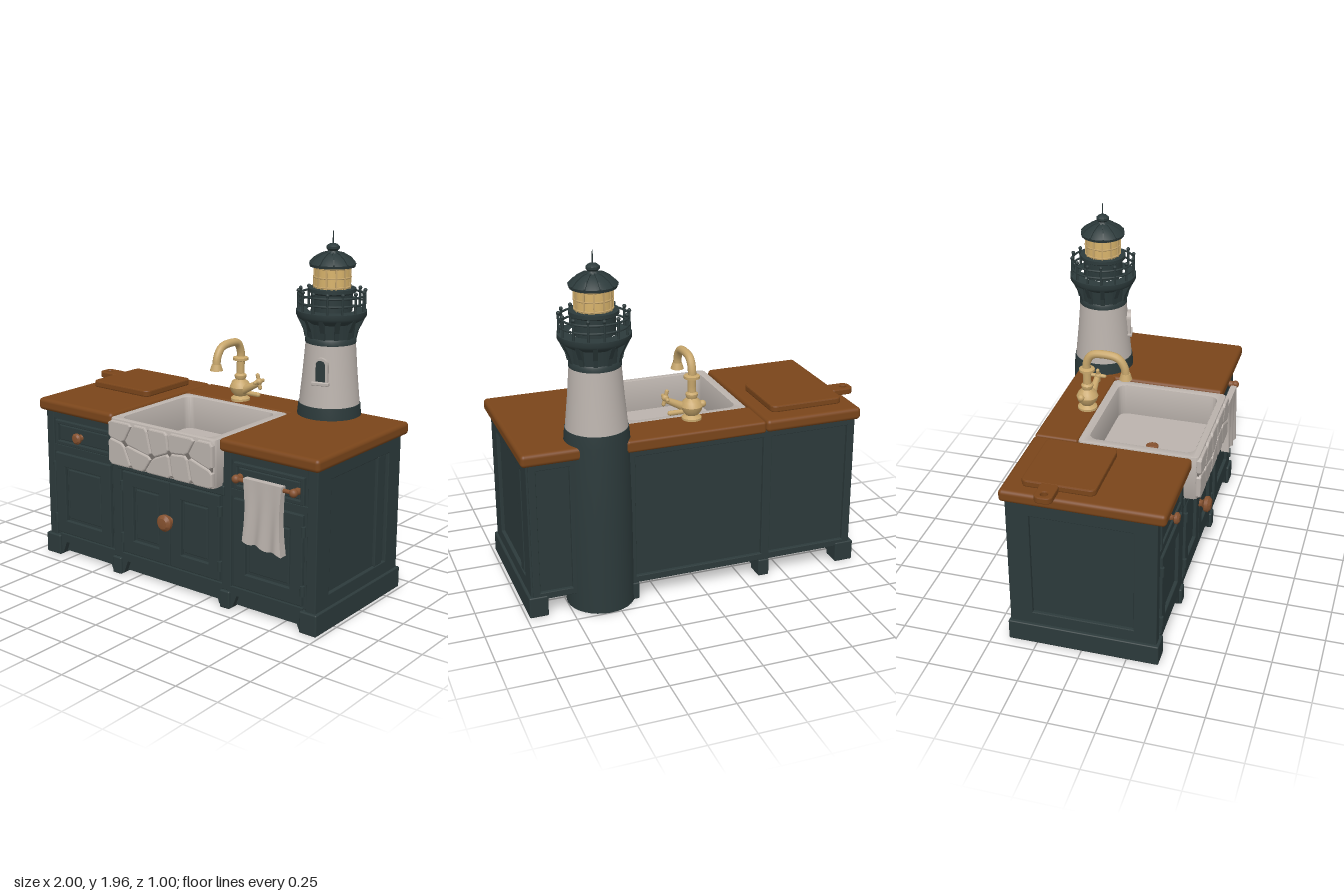
import * as THREE from 'three';
import { toCreasedNormals } from 'three/addons/utils/BufferGeometryUtils.js';
import { RoundedBoxGeometry } from 'three/addons/geometries/RoundedBoxGeometry.js';

const paint = (name, color, side = THREE.FrontSide) => {
  const m = new THREE.MeshStandardMaterial({ color, side });
  m.name = name;
  return m;
};

export function createModel() {
  const green = paint('dark green paint', 0x2c3a3b);
  const wood = paint('brown wood', 0x7a451a);
  const white = paint('off white', 0xbbb3ad);
  const mortar = paint('grey mortar', 0x77716c);
  const brass = paint('brass', 0xc8a76c);
  const glass = paint('lantern glass', 0xd9b46c);
  const copper = paint('copper', 0x85512f);

  const root = new THREE.Group();
  const add = (name, geo, mat, x = 0, y = 0, z = 0, parent = root) => {
    const m = new THREE.Mesh(geo, mat);
    m.name = name;
    m.position.set(x, y, z);
    parent.add(m);
    return m;
  };
  const group = (name, x = 0, y = 0, z = 0, parent = root) => {
    const g = new THREE.Group();
    g.name = name;
    g.position.set(x, y, z);
    parent.add(g);
    return g;
  };
  // Box given by its ranges, with an optional rounding radius
  const block = (name, mat, [x0, x1], [y0, y1], [z0, z1], r = 0) => {
    const s = [x1 - x0, y1 - y0, z1 - z0];
    const geo = r ? new RoundedBoxGeometry(...s, 3, r) : new THREE.BoxGeometry(...s);
    return add(name, geo, mat, (x0 + x1) / 2, (y0 + y1) / 2, (z0 + z1) / 2);
  };
  const lathe = (pts, n = 32) =>
    toCreasedNormals(new THREE.LatheGeometry(pts.map(p => new THREE.Vector2(...p)), n), 0.6);
  const poly = pts => new THREE.Shape(pts.map(p => new THREE.Vector2(...p)));
  const rect = (w, h) => poly([[-w / 2, -h / 2], [w / 2, -h / 2], [w / 2, h / 2], [-w / 2, h / 2]]);
  const roundRect = (x0, y0, x1, y1, r) => {
    const s = new THREE.Shape();
    s.absarc(x1 - r, y0 + r, r, -Math.PI / 2, 0);
    s.absarc(x1 - r, y1 - r, r, 0, Math.PI / 2);
    s.absarc(x0 + r, y1 - r, r, Math.PI / 2, Math.PI);
    s.absarc(x0 + r, y0 + r, r, Math.PI, Math.PI * 1.5);
    return s;
  };
  const extrude = (shape, depth, bevel = 0) => new THREE.ExtrudeGeometry(shape, {
    depth, bevelEnabled: bevel > 0, bevelSize: bevel, bevelThickness: bevel,
    bevelOffset: -bevel, bevelSegments: 2, curveSegments: 8 });
  const cyl = (r0, r1, h, n = 16) => new THREE.CylinderGeometry(r0, r1, h, n);
  // Picture-frame board facing +z, turned by ry
  const frame = (name, w, h, bx, by, x, y, z, ry = 0) => {
    const s = rect(w, h);
    s.holes.push(rect(w - 2 * bx, h - 2 * by));
    const m = add(name, extrude(s, 0.016, 0.004), green, x, y, z);
    m.rotation.y = ry;
    return m;
  };

  // Cabinet carcass, lower in the middle for the sink
  block('leftCabinet', green, [-0.9, -0.37], [0.1, 0.89], [-0.385, 0.395]);
  block('rightCabinet', green, [0.38, 0.95], [0.1, 0.89], [-0.385, 0.395]);
  block('middleCabinet', green, [-0.37, 0.38], [0.1, 0.69], [-0.385, 0.395]);
  block('sinkBackCabinet', green, [-0.37, 0.38], [0.69, 0.89], [-0.385, -0.2]);

  // Face frame posts and rails
  for (const [x0, x1] of [[-0.92, -0.865], [-0.405, -0.345], [0.37, 0.43], [0.91, 0.97]])
    block('frontPost', green, [x0, x1], [0.1, x0 > -0.5 && x0 < 0.4 ? 0.7 : 0.885], [0.385, 0.41], 0.005);
  for (const [x0, x1] of [[-0.41, -0.36], [0.38, 0.43]])
    block('upperPost', green, [x0, x1], [0.66, 0.885], [0.385, 0.41], 0.005);
  for (const [x0, x1] of [[-0.9, -0.38], [0.4, 0.95]]) {
    block('topRail', green, [x0, x1], [0.84, 0.885], [0.385, 0.408]);
    block('middleRail', green, [x0, x1], [0.642, 0.68], [0.385, 0.408]);
  }
  block('sinkRail', green, [-0.36, 0.39], [0.632, 0.685], [0.385, 0.42], 0.006);

  // Side and back panelling
  frame('rightSideFrame', 0.8, 0.78, 0.12, 0.08, 0.95, 0.5, 0.005, Math.PI / 2);
  block('rightSideStile', green, [0.94, 0.966], [0.19, 0.81], [-0.24, -0.17], 0.004);
  frame('leftSideFrame', 0.8, 0.78, 0.12, 0.08, -0.9, 0.5, 0.005, -Math.PI / 2);
  for (const [x0, x1] of [[-0.91, -0.37], [-0.4, 0.42], [0.7, 0.96]])
    frame('backFrame', x1 - x0, 0.79, 0.04, 0.04, (x0 + x1) / 2, 0.495, -0.385, Math.PI);

  // Plinth: feet, arched kick rails, side boards and floor runners
  const feet = [[-0.94, -0.83], [-0.41, -0.345], [0.365, 0.43], [0.88, 0.985]];
  feet.forEach(([x0, x1], i) => {
    const y = i % 3 ? 0.1 : 0.12;
    block('frontFoot', green, [x0, x1], [0, y], [0.3, 0.425], 0.008);
    block('backFoot', green, [x0, x1], [0, y], [-0.41, -0.3], 0.008);
    block('floorRunner', green, [x0, x1], [0.03, 0.115], [-0.39, 0.4]);
  });
  for (let i = 0; i < 3; i++) {
    const a = feet[i][1] - 0.01, b = feet[i + 1][0] + 0.01;
    const arch = poly([[a, 0.01], [a + 0.02, 0.01], [a + 0.05, 0.085], [b - 0.05, 0.085],
      [b - 0.02, 0.01], [b, 0.01], [b, 0.13], [a, 0.13]]);
    add('kickRail', extrude(arch, 0.03), green, 0, 0, 0.38);
    block('toeBoard', green, [a, b], [0.015, 0.11], [0.35, 0.37]);
  }
  block('leftSkirting', green, [-0.94, -0.89], [0, 0.12], [-0.39, 0.42], 0.008);
  block('rightSkirting', green, [0.93, 0.985], [0, 0.12], [-0.39, 0.42], 0.008);

  // Doors and drawers
  const door = (x0, x1, y0, y1, hingeX) => {
    const w = x1 - x0, h = y1 - y0, x = (x0 + x1) / 2, y = (y0 + y1) / 2;
    frame('doorFrame', w, h, 0.075, 0.08, x, y, 0.4);
    add('doorPanel', extrude(rect(w - 0.18, h - 0.19), 0.006, 0.005), green, x, y, 0.395);
    for (const hy of [y0 + 0.085, y1 - 0.085])
      add('hinge', cyl(0.013, 0.013, 0.055, 10), green, hingeX, hy, 0.417);
  };
  door(-0.85, -0.42, 0.145, 0.635, -0.852);
  door(-0.325, 0.015, 0.145, 0.625, -0.328);
  door(0.02, 0.36, 0.145, 0.625, 0.363);
  door(0.455, 0.89, 0.145, 0.635, 0.893);
  for (const x of [-0.63, 0.67]) {
    frame('drawerFrame', 0.44, 0.145, 0.022, 0.022, x, 0.758, 0.395);
    add('drawerPanel', extrude(rect(0.38, 0.09), 0.008, 0.005), green, x, 0.758, 0.394);
  }
  const knobProfile = [[0, 0], [0.02, 0], [0.013, 0.015], [0.016, 0.022], [0.032, 0.03], [0.034, 0.045], [0.022, 0.056], [0, 0.059]];
  const knob = (x, y, z, s) => {
    const k = add('knob', lathe(knobProfile, 20), copper, x, y, z);
    k.rotation.x = Math.PI / 2;
    k.scale.setScalar(s);
  };
  knob(-0.65, 0.755, 0.405, 0.95);
  knob(0.02, 0.41, 0.41, 1.4);

  // Worktop
  block('leftWorktop', wood, [-0.94, -0.368], [0.885, 0.955], [-0.43, 0.455], 0.022);
  block('rightWorktop', wood, [0.38, 1.0], [0.885, 0.955], [-0.43, 0.455], 0.022);
  block('backWorktop', wood, [-0.364, 0.43], [0.885, 0.953], [-0.43, -0.185], 0.015);

  // Sink basin with a stone apron
  const rim = roundRect(-0.355, -0.485, 0.375, 0.19, 0.03);
  rim.holes.push(roundRect(-0.305, -0.445, 0.325, 0.14, 0.05));
  const walls = add('sinkWalls', toCreasedNormals(extrude(rim, 0.25, 0.008), 0.5), white, 0, 0.688, 0);
  walls.rotation.x = -Math.PI / 2;
  block('sinkFloor', white, [-0.33, 0.35], [0.7, 0.755], [-0.16, 0.46]);
  add('drain', lathe([[0.036, 0], [0.036, 0.008], [0.022, 0.016], [0, 0.012]], 20), copper, 0, 0.754, 0.14);
  block('apronMortar', mortar, [-0.345, 0.365], [0.69, 0.92], [0.475, 0.488]);
  const cols = 5, rows = 2;
  const corner = (i, j) => {
    const edge = i === 0 || i === cols;
    return [-0.355 + 0.146 * i + (edge ? 0 : 0.035 * Math.sin(i * 2.3 + j * 2.6)),
      0.682 + 0.128 * j + (j === 1 ? 0.035 * Math.sin(i * 1.9 + 1) : 0)];
  };
  for (let i = 0; i < cols; i++) for (let j = 0; j < rows; j++) {
    const pts = [corner(i, j), corner(i + 1, j), corner(i + 1, j + 1), corner(i, j + 1)];
    const cx = pts.reduce((s, p) => s + p[0], 0) / 4, cy = pts.reduce((s, p) => s + p[1], 0) / 4;
    const cut = [];
    pts.forEach((p, k) => [pts[(k + 3) % 4], pts[(k + 1) % 4]].forEach(q => {
      const t = 0.13;
      cut.push([0, 1].map(n => (p[n] + (q[n] - p[n]) * t - [cx, cy][n]) * 0.97 + [cx, cy][n]));
    }));
    add('apronStone', extrude(poly(cut), 0.014, 0.008), white, 0, 0, 0.478);
  }

  // Tap
  const tap = group('tap', 0, 0.95, -0.24);
  add('tapBody', lathe([[0.055, 0], [0.055, 0.015], [0.035, 0.03], [0.055, 0.055], [0.062, 0.08], [0.05, 0.105],
    [0.028, 0.125], [0.034, 0.14], [0.034, 0.15], [0.023, 0.16], [0.022, 0.23], [0.044, 0.238], [0.044, 0.252], [0.022, 0.26]], 20), brass, 0, 0, 0, tap);
  const spoutPath = new THREE.CatmullRomCurve3([[0.18, 0], [0.29, 0], [0.34, 0.03], [0.352, 0.1], [0.338, 0.18], [0.29, 0.216], [0.235, 0.225]]
    .map(([y, z]) => new THREE.Vector3(0, y, z)));
  add('spout', new THREE.TubeGeometry(spoutPath, 28, 0.023, 12), brass, 0, 0, 0, tap);
  add('spoutMouth', cyl(0.026, 0.037, 0.035), brass, 0, 0.235, 0.224, tap);
  const arm = add('handleArm', cyl(0.016, 0.026, 0.13, 12), brass, 0.085, 0.095, 0.015, tap);
  arm.rotation.z = -1.1;
  const wheel = group('crossHandle', 0.145, 0.135, 0.02, tap);
  for (const a of [0, Math.PI / 2]) {
    const bar = add('handleBar', new THREE.CapsuleGeometry(0.011, 0.075, 4, 10), brass, 0, 0, 0, wheel);
    bar.rotation.set(a, 0, a ? 0 : 0.25);
  }
  add('handleHub', new THREE.SphereGeometry(0.02, 14, 10), brass, 0, 0, 0, wheel);
  const lever = add('sideLever', new THREE.CapsuleGeometry(0.014, 0.07, 4, 10), brass, 0.09, 0.05, 0, tap);
  lever.rotation.z = Math.PI / 2;
  add('leverKnob', new THREE.SphereGeometry(0.02, 14, 10), brass, -0.055, 0.09, -0.02, tap);

  // Cutting board with a holed handle
  const board = roundRect(-0.87, -0.07, -0.44, 0.33, 0.035);
  const bm = add('cuttingBoard', extrude(board, 0.023, 0.008), wood, 0, 0.962, 0);
  const grip = roundRect(-1.0, 0.12, -0.85, 0.22, 0.035);
  const hole = new THREE.Path();
  hole.absarc(-0.955, 0.17, 0.02, 0, Math.PI * 2, true);
  grip.holes.push(hole);
  const gm = add('boardHandle', extrude(grip, 0.024, 0.006), wood, 0, 0.962, 0);
  bm.rotation.x = gm.rotation.x = -Math.PI / 2;

  // Towel rail and towel
  const rail = add('towelRail', cyl(0.011, 0.011, 0.37, 12), copper, 0.67, 0.755, 0.445);
  rail.rotation.z = Math.PI / 2;
  for (const x of [0.49, 0.85]) {
    const post = add('railPost', cyl(0.016, 0.02, 0.05, 12), copper, x, 0.755, 0.425);
    post.rotation.x = Math.PI / 2;
    add('railEnd', new THREE.SphereGeometry(0.023, 14, 10), copper, x, 0.755, 0.447);
  }
  const cloth = new THREE.BoxGeometry(1, 1, 1, 20, 20, 2);
  const cp = cloth.attributes.position;
  for (let i = 0; i < cp.count; i++) {
    const u = cp.getX(i), t = 0.5 - cp.getY(i), d = cp.getZ(i);
    cp.setXYZ(i, 0.67 + u * (0.24 - 0.02 * Math.sin(t * Math.PI)) + 0.004 * t,
      0.777 - t * (0.355 + 0.03 * u + 0.008 * Math.sin(u * 14)),
      0.449 + d * (0.036 + 0.012 * t) + 0.009 * t * Math.sin(u * 15 + t * 2));
  }
  cloth.computeVertexNormals();
  add('towel', toCreasedNormals(cloth, 0.8), white);

  // Lighthouse shaft
  const tower = group('lighthouse', 0.56, 0, -0.31);
  add('towerBase', lathe([[0, 0], [0.188, 0], [0.186, 0.5], [0.176, 0.96], [0.17, 1.02], [0.16, 1.022]]), green, 0, 0, 0, tower);
  add('towerShaft', lathe([[0.167, 1.018], [0.15, 1.19], [0.136, 1.365]]), white, 0, 0, 0, tower);
  add('galleryDeck', lathe([[0.13, 1.355], [0.139, 1.358], [0.139, 1.38], [0.133, 1.39], [0.142, 1.47], [0.183, 1.495],
    [0.192, 1.51], [0.192, 1.535], [0.13, 1.537]]), green, 0, 0, 0, tower);
  const ring = (n, make) => {
    for (let i = 0; i < n; i++) {
      const g = group('spoke', 0, 0, 0, tower);
      g.rotation.y = (i + 0.5) / n * Math.PI * 2;
      make(g);
    }
  };
  const bracket = poly([[0.13, 1.39], [0.143, 1.39], [0.152, 1.43], [0.186, 1.5], [0.13, 1.5]]);
  ring(12, g => add('bracket', extrude(bracket, 0.024), green, 0, 0, -0.012, g));

  // Gallery railing
  ring(14, g => {
    add('railingPost', cyl(0.007, 0.007, 0.11, 8), green, 0.18, 1.585, 0, g);
    add('postCap', new THREE.SphereGeometry(0.011, 8, 6), green, 0.18, 1.64, 0, g);
  });
  for (const y of [1.578, 1.62])
    add('railing', new THREE.TorusGeometry(0.18, 0.006, 8, 42), green, 0, y, 0, tower).rotation.x = Math.PI / 2;

  // Lantern room and roof
  add('lanternBase', lathe([[0.112, 1.53], [0.112, 1.625], [0.13, 1.635], [0.13, 1.655], [0, 1.66]]), green, 0, 0, 0, tower);
  add('lanternGlass', cyl(0.1, 0.1, 0.125, 12), glass, 0, 1.715, 0, tower);
  ring(12, g => add('glazingBar', new THREE.BoxGeometry(0.009, 0.125, 0.009), brass, 0.099, 1.715, 0, g));
  for (const y of [1.665, 1.715, 1.765])
    add('glazingRing', new THREE.TorusGeometry(0.1, 0.005, 6, 36), brass, 0, y, 0, tower).rotation.x = Math.PI / 2;
  add('roof', lathe([[0, 1.77], [0.122, 1.77], [0.126, 1.785], [0.1, 1.812], [0.06, 1.836], [0.034, 1.843], [0.026, 1.855],
    [0.036, 1.866], [0.036, 1.878], [0.022, 1.89], [0, 1.896]]), green, 0, 0, 0, tower);
  const rib = poly([[0.125, 1.775], [0.129, 1.792], [0.102, 1.819], [0.06, 1.843], [0.03, 1.848], [0.03, 1.79]]);
  ring(10, g => add('roofRib', extrude(rib, 0.008), green, 0, 0, -0.004, g));
  add('lightningRod', cyl(0.002, 0.004, 0.07, 6), green, 0, 1.925, 0, tower);

  // Tower window
  const win = group('towerWindow', 0, 0, 0, tower);
  win.rotation.y = 0.24;
  const archShape = (w, h) => {
    const s = poly([[-w, 0], [w, 0], [w, h]]);
    s.absarc(0, h, w, 0, Math.PI);
    return s;
  };
  const surround = archShape(0.042, 0.1);
  surround.holes.push(archShape(0.028, 0.1));
  add('windowFrame', extrude(surround, 0.03), white, 0, 1.155, 0.132, win);
  add('windowPane', extrude(archShape(0.03, 0.1), 0.008), green, 0, 1.155, 0.146, win);
  add('windowSill', new RoundedBoxGeometry(0.1, 0.02, 0.035, 2, 0.005), white, 0, 1.155, 0.153, win);
  return root;
}
